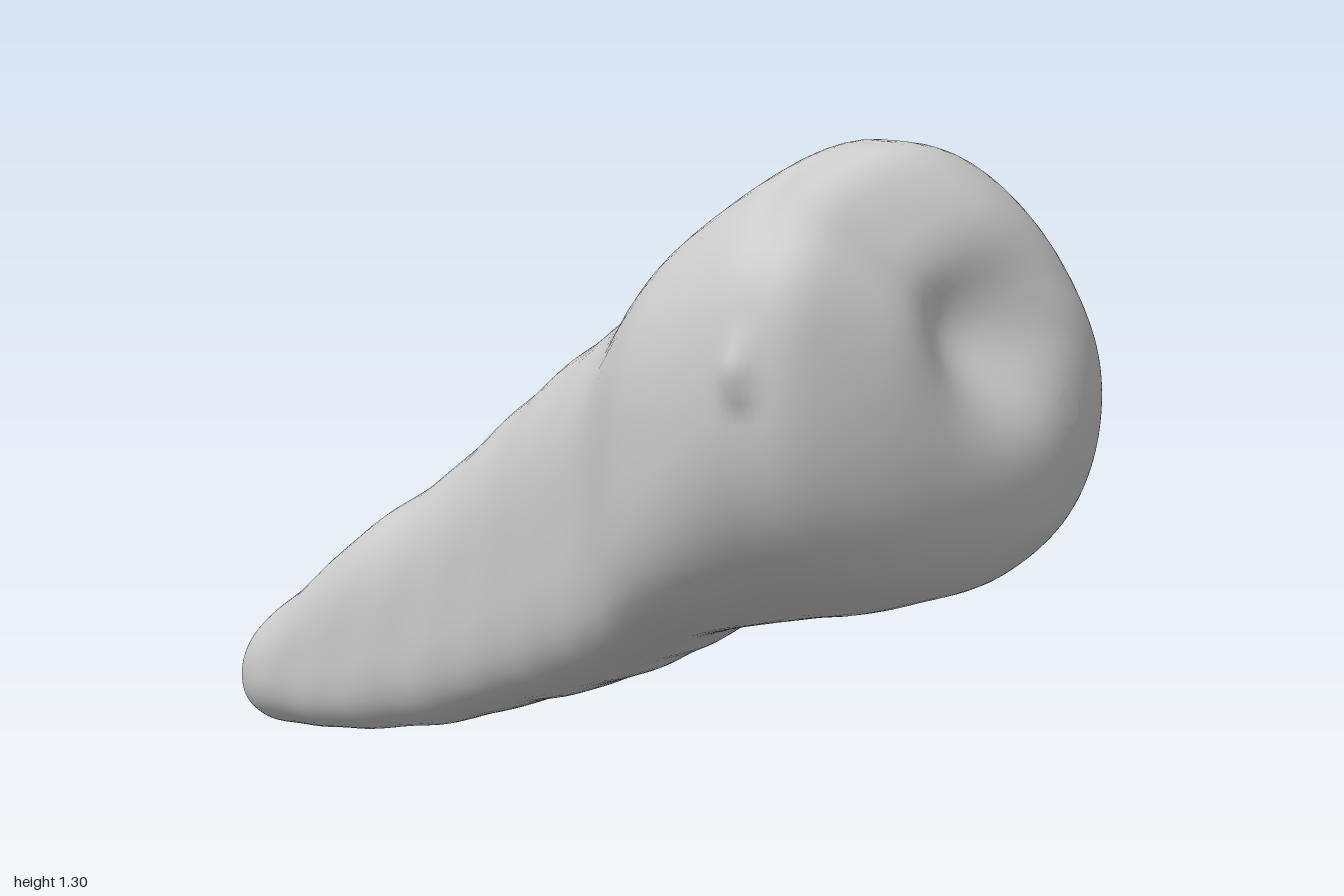
import * as THREE from 'three';

// Cross-sections from root tip to crown: z, xMin, xMax, yMin, yMax
const sections = [
  [-1, 0.15, 0.18, 0.07, 0.11],
  [-0.99, 0.11, 0.22, 0.03, 0.16],
  [-0.96, 0.08, 0.27, 0.01, 0.21],
  [-0.9, 0.05, 0.31, 0, 0.26],
  [-0.8, 0.03, 0.34, 0.01, 0.33],
  [-0.6, -0.01, 0.4, 0.04, 0.48],
  [-0.4, -0.02, 0.46, 0.08, 0.61],
  [-0.2, -0.06, 0.485, 0.15, 0.76],
  [0, -0.14, 0.5, 0.22, 0.89],
  [0.2, -0.23, 0.46, 0.31, 1.0],
  [0.4, -0.38, 0.43, 0.41, 1.15],
  [0.6, -0.45, 0.43, 0.46, 1.28],
  [0.7, -0.46, 0.4, 0.48, 1.3],
  [0.8, -0.43, 0.37, 0.51, 1.28],
  [0.9, -0.3, 0.32, 0.55, 1.19],
  [0.97, -0.13, 0.27, 0.63, 1.06],
  [0.995, 0.02, 0.2, 0.74, 0.96],
  [1, 0.09, 0.14, 0.82, 0.88],
];

// Smooth cubic interpolation of the table rows
function sectionAt(t) {
  const f = t * (sections.length - 1);
  const i = Math.min(Math.floor(f), sections.length - 2);
  const u = f - i;
  const row = (k) => sections[Math.max(0, Math.min(sections.length - 1, k))];
  const [a, b, c, d] = [row(i - 1), row(i), row(i + 1), row(i + 2)];
  return b.map((v, k) => {
    const m0 = (c[k] - a[k]) / 2, m1 = (d[k] - v) / 2;
    const u2 = u * u, u3 = u2 * u;
    return (2 * u3 - 3 * u2 + 1) * v + (u3 - 2 * u2 + u) * m0
      + (3 * u2 - 2 * u3) * c[k] + (u3 - u2) * m1;
  });
}

// Soft local swellings (+) and hollows (-): centre, radius, push
const swellings = [
  { at: [-0.4, 1.07, 0.68], r: 0.12, push: [-0.02, 0.02, 0.03] },  // side cusp
  { at: [-0.2, 1.2, 0.76], r: 0.13, push: [0.02, -0.035, -0.06] }, // groove between cusps
  { at: [-0.13, 1.13, 0.86], r: 0.12, push: [0, -0.01, -0.07] },   // upper end of the hollow
  { at: [-0.05, 0.98, 0.95], r: 0.13, push: [0, 0, -0.12] },       // chewing hollow
  { at: [-0.47, 0.94, 0.7], r: 0.03, push: [-0.04, 0, 0] },        // small spur
  { at: [0.43, 0.9, 0.43], r: 0.09, push: [0.045, 0, 0] },         // side knob
  { at: [0.42, 0.8, 0.27], r: 0.06, push: [-0.02, 0, 0] },         // notch below the knob
];

function shape(p) {
  const start = p.clone();
  for (const { at, r, push } of swellings) {
    const w = Math.exp(-start.distanceToSquared(new THREE.Vector3(...at)) / (r * r));
    p.addScaledVector(new THREE.Vector3(...push), w);
  }
  return p;
}

// Squareness of each quarter of the outline: upper left, upper right, lower right, lower left
const rootPowers = [2.3, 2.7, 3.9, 1.85];
const crownPowers = [1.95, 2, 2.1, 2];

function outlineRadius(a, z) {
  const quarter = Math.floor(a / (Math.PI / 2)) % 4;
  const tip = THREE.MathUtils.smoothstep(z, -0.95, -0.6);
  const root = THREE.MathUtils.lerp(2.1, rootPowers[quarter], tip);
  const power = THREE.MathUtils.lerp(root, crownPowers[quarter], THREE.MathUtils.smoothstep(z, 0.25, 0.7));
  return (Math.abs(Math.cos(a)) ** power + Math.abs(Math.sin(a)) ** power) ** (-1 / power);
}

function toothGeometry(rings = 136, sides = 72) {
  const positions = [], index = [];
  for (let i = 0; i <= rings; i++) {
    const [z, x0, x1, y0, y1] = sectionAt(i / rings);
    const cx = (x0 + x1) / 2, cy = (y0 + y1) / 2;
    for (let j = 0; j < sides; j++) {
      const a = (j / sides) * Math.PI * 2;
      // Faint growth ridges, slanted around the root
      const fade = THREE.MathUtils.smoothstep(0.45 - z, 0, 0.3);
      const ridge = 1 + 0.006 * fade * Math.sin((z - 0.12 * Math.sin(a)) * 36);
      const r = outlineRadius(a, z) * ridge;
      const p = new THREE.Vector3(
        cx + (x1 - x0) / 2 * Math.cos(a) * r,
        cy + (y1 - y0) / 2 * Math.sin(a) * r, z);
      positions.push(...shape(p).toArray());
    }
  }
  // Side faces
  for (let i = 0; i < rings; i++) {
    for (let j = 0; j < sides; j++) {
      const k = (j + 1) % sides;
      const a = i * sides + j, b = i * sides + k;
      index.push(a, b, b + sides, a, b + sides, a + sides);
    }
  }
  // Closing fans at the root tip and the crown
  for (const [i, flip] of [[0, true], [rings, false]]) {
    const [z, x0, x1, y0, y1] = sectionAt(i / rings);
    const centre = positions.length / 3;
    positions.push(...shape(new THREE.Vector3((x0 + x1) / 2, (y0 + y1) / 2, z)).toArray());
    for (let j = 0; j < sides; j++) {
      const a = i * sides + j, b = i * sides + (j + 1) % sides;
      index.push(centre, ...(flip ? [b, a] : [a, b]));
    }
  }
  const geometry = new THREE.BufferGeometry();
  geometry.setAttribute('position', new THREE.Float32BufferAttribute(positions, 3));
  geometry.setIndex(index);
  geometry.computeVertexNormals();
  return geometry;
}

export function createModel() {
  const group = new THREE.Group();
  group.name = 'tooth';
  const material = new THREE.MeshStandardMaterial({ color: 0xcccccc });
  const body = new THREE.Mesh(toothGeometry(), material);
  body.name = 'crownAndRoot';
  group.add(body);
  return group;
}
